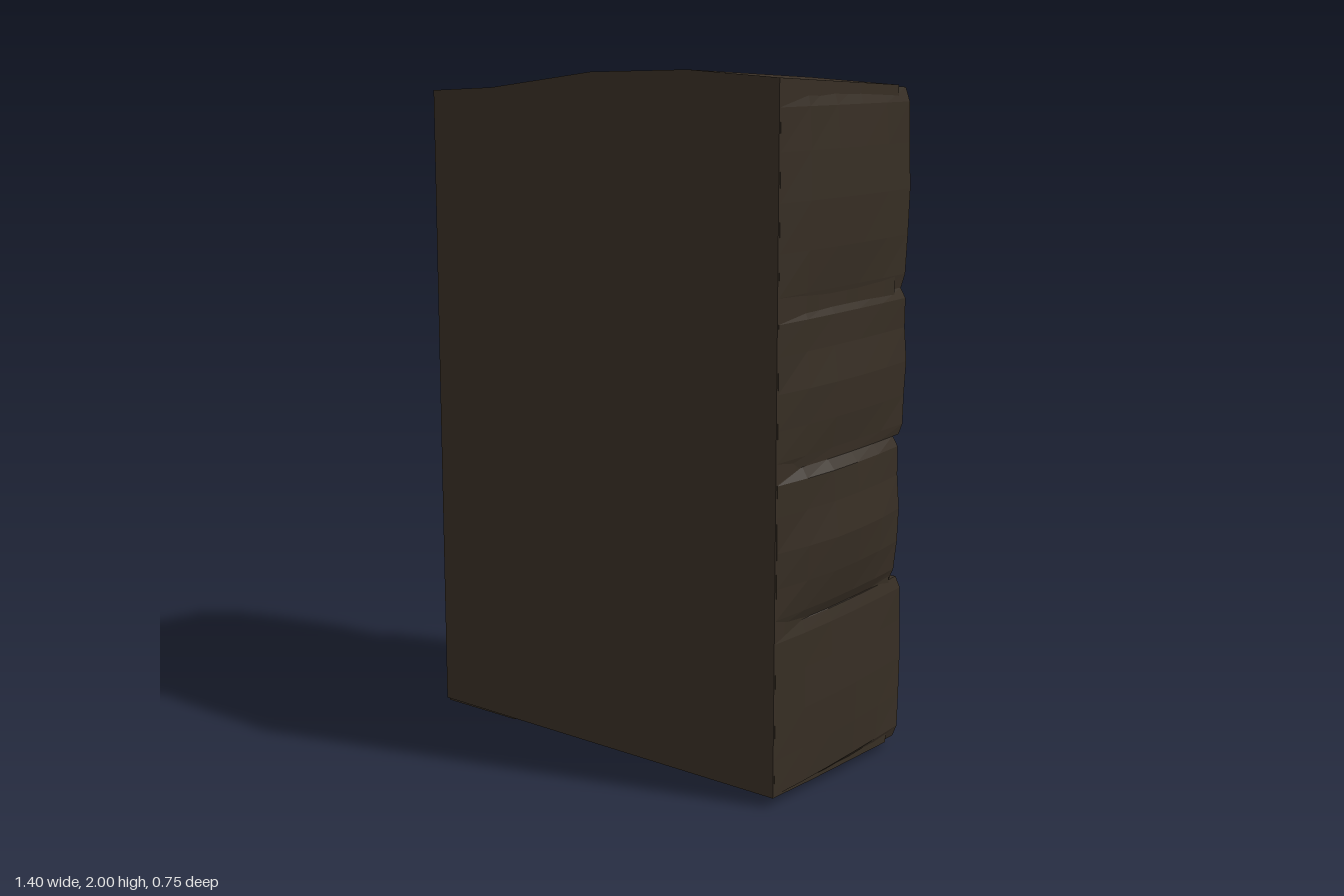
import * as THREE from 'three';

const FRONT = 0.37;
// Outward reach of the two ends at each height: [y, x]
const LEFT_END = [[0.03, 0.655], [0.1, 0.667], [0.35, 0.672], [0.52, 0.665], [0.72, 0.699], [0.95, 0.677], [0.97, 0.657],
  [1.1, 0.68], [1.37, 0.66], [1.4, 0.655], [1.55, 0.672], [1.85, 0.672], [1.96, 0.655]];
const RIGHT_END = [[0.03, 0.65], [0.1, 0.667], [0.35, 0.692], [0.46, 0.66], [0.58, 0.702], [0.85, 0.688], [1, 0.66],
  [1.2, 0.658], [1.3, 0.655], [1.38, 0.672], [1.6, 0.694], [1.75, 0.687], [1.85, 0.667], [1.96, 0.65]];
// How much of that reach is gained from front to back: [z, share]
const LEFT_SWELL = [[-0.29, 0], [-0.2, 0.5], [-0.05, 1], [0.17, 1], [0.37, 0]];
const RIGHT_SWELL = [[-0.28, 1], [0.1, 0.5], [0.37, 0]];
// Gently crowned top and sagging bottom: [x, y]
const TOP = [[-0.652, 1.965], [-0.4, 1.967], [0, 2], [0.35, 1.995], [0.655, 1.965]];
const BOTTOM = [[-0.652, 0.018], [-0.3, 0.02], [0, 0.003], [0.3, 0.022], [0.655, 0.027]];

function sample(table, t) {
  if (t <= table[0][0]) return table[0][1];
  for (let i = 1; i < table.length; i++) {
    const [a, va] = table[i - 1], [b, vb] = table[i];
    if (t <= b) return va + (vb - va) * (t - a) / (b - a);
  }
  return table[table.length - 1][1];
}

function seeded(seed) {
  let s = seed * 7919 + 17;
  return () => {
    s = (s * 16807) % 2147483647;
    return s / 2147483647 - 0.5;
  };
}

// Grid spacing across a stone, and how far each grid line rises
const STEP = [0, 0.07, 0.27, 0.5, 0.73, 0.93, 1];
const RISE = [0, 0.55, 0.88, 1, 0.88, 0.55, 0];

// A stone from its low-x/high-x corners (bl, br, tr, tl), the depth of its back face and the height of its bulge
function stoneGeometry([bl, br, tr, tl], depth, bulge, seed) {
  const rand = seeded(seed);
  const noise = Array.from({ length: 49 }, () => [rand(), rand(), rand()]);
  const atLeft = br[0] > 0.6, atRight = bl[0] < -0.6;
  const atTop = tl[1] > 1.9, atBottom = bl[1] < 0.1;
  const front = atLeft || atRight ? FRONT - 0.006 : -0.12;
  const edge = depth - bulge;
  const geo = new THREE.BoxGeometry(1, 1, 1, 6, 6, 5);
  const p = geo.attributes.position;
  for (let i = 0; i < p.count; i++) {
    const iu = Math.round((p.getX(i) + 0.5) * 6), iv = Math.round((p.getY(i) + 0.5) * 6);
    const w = p.getZ(i) + 0.5;
    const u = STEP[iu], v = STEP[iv];
    const [nx, ny, nz] = noise[iv * 7 + iu];
    const inner = iu > 0 && iu < 6 && iv > 0 && iv < 6;
    const onEnd = (atLeft && iu === 6) || (atRight && iu === 0);
    const onCap = (atTop && iv === 6) || (atBottom && iv === 0);
    let x = (bl[0] * (1 - u) + br[0] * u) * (1 - v) + (tl[0] * (1 - u) + tr[0] * u) * v;
    let y = (bl[1] * (1 - u) + br[1] * u) * (1 - v) + (tl[1] * (1 - u) + tr[1] * u) * v;
    // Outer edges of the wall stay sharper than the joints between stones
    const rise = (onEnd ? 0.5 : RISE[iu]) * (onCap ? 0.3 : RISE[iv]);
    const back = -(edge + bulge * rise) + (inner ? nz * 0.014 : 0);
    const z = back + (front - back) * w;
    if (onEnd) {
      // Weathered ends swell outward behind the flat front
      const reach = sample(atLeft ? LEFT_END : RIGHT_END, y) - 0.655;
      const swell = sample(atLeft ? LEFT_SWELL : RIGHT_SWELL, z);
      const groove = iv === 0 || iv === 6 ? 0.008 : 0;
      x = Math.sign(x) * (0.655 + reach * swell - groove + (w < 1 ? nx * 0.006 : 0));
      // Joints on the ends run slightly off level
      y += (atLeft ? -0.03 : 0.05) * w;
    } else if (inner) {
      x += nx * 0.02;
      y += ny * 0.02;
    }
    // Outer courses follow the crown and the sag
    if (atTop && iv === 6) y = sample(TOP, x) - 0.005;
    if (atBottom && iv === 0) y = sample(BOTTOM, x) + 0.004;
    p.setXYZ(i, x, y, z);
  }
  const flat = geo.toNonIndexed();
  flat.computeVertexNormals();
  return flat;
}

// Core slab: crowned outline, with a straight lower edge on the front
function slabGeometry() {
  const outline = new THREE.Shape();
  BOTTOM.forEach(([x, y], i) => (i ? outline.lineTo(x, y) : outline.moveTo(x, y)));
  [...TOP].reverse().forEach(([x, y]) => outline.lineTo(x, y));
  outline.closePath();
  const slab = new THREE.ExtrudeGeometry(outline, { depth: FRONT + 0.2, steps: 3, bevelEnabled: false });
  slab.translate(0, 0, -0.2);
  const p = slab.attributes.position;
  for (let i = 0; i < p.count; i++) {
    if (p.getZ(i) > FRONT - 0.01 && p.getY(i) < 0.1) p.setY(i, 0.03);
  }
  slab.computeVertexNormals();
  return slab;
}

const quad = (x0, x1, yb0, yb1, yt0, yt1) => [[x0, yb0], [x1, yb1], [x1, yt1], [x0, yt0]];

export function createModel() {
  const model = new THREE.Group();
  model.name = 'stoneWallSection';
  const stone = new THREE.MeshStandardMaterial({ color: 0x372e24, flatShading: true });
  stone.name = 'dark brown stone';

  const core = new THREE.Mesh(slabGeometry(), stone);
  core.name = 'coreSlab';
  model.add(core);

  // Stones: [name, corners, back depth, bulge]
  const stones = [
    ['topLeftStone', quad(0.36, 0.65, 1.36, 1.39, 1.96, 1.96), 0.288, 0.045],
    ['topMiddleStone', quad(0, 0.36, 1.35, 1.36, 1.96, 1.96), 0.268, 0.03],
    ['topInnerStone', quad(-0.34, 0, 1.32, 1.35, 1.96, 1.96), 0.275, 0.035],
    ['topRightStone', quad(-0.65, -0.34, 1.12, 1.2, 1.96, 1.96), 0.356, 0.09],
    ['upperLeftStone', quad(0.36, 0.65, 0.98, 0.96, 1.36, 1.39), 0.282, 0.04],
    ['upperCrackedStoneTop', quad(-0.04, 0.36, 1.12, 1.28, 1.34, 1.36), 0.265, 0.03],
    ['upperCrackedStoneBottom', quad(-0.04, 0.36, 1.0, 0.98, 1.12, 1.28), 0.285, 0.04],
    ['upperInnerStone', quad(-0.35, -0.04, 0.96, 1.0, 1.32, 1.34), 0.28, 0.035],
    ['upperRightStone', quad(-0.65, -0.35, 1.0, 0.98, 1.12, 1.2), 0.278, 0.02],
    ['lowerLeftStone', quad(0.41, 0.65, 0.53, 0.53, 0.98, 0.96), 0.228, 0.02],
    ['lowerMiddleStone', quad(-0.04, 0.41, 0.68, 0.7, 1.0, 0.98), 0.315, 0.06],
    ['lowerWedgeStone', quad(-0.04, 0.41, 0.52, 0.56, 0.68, 0.7), 0.295, 0.045],
    ['lowerInnerStone', quad(-0.35, -0.04, 0.48, 0.52, 0.96, 1.0), 0.272, 0.03],
    ['lowerRightStone', quad(-0.65, -0.35, 0.46, 0.48, 1.0, 0.98), 0.3, 0.045],
    ['bottomLeftStone', quad(0.45, 0.65, 0.03, 0.03, 0.53, 0.53), 0.285, 0.04],
    ['bottomBulgingStone', quad(-0.09, 0.45, 0.03, 0.03, 0.52, 0.58), 0.376, 0.12],
    ['bottomInnerStone', quad(-0.35, -0.09, 0.03, 0.03, 0.48, 0.52), 0.285, 0.04],
    ['bottomRightStone', quad(-0.65, -0.35, 0.03, 0.03, 0.46, 0.48), 0.308, 0.045],
  ];
  stones.forEach(([name, corners, depth, bulge], i) => {
    const mesh = new THREE.Mesh(stoneGeometry(corners, depth, bulge, i + 1), stone);
    mesh.name = name;
    model.add(mesh);
  });
  return model;
}
